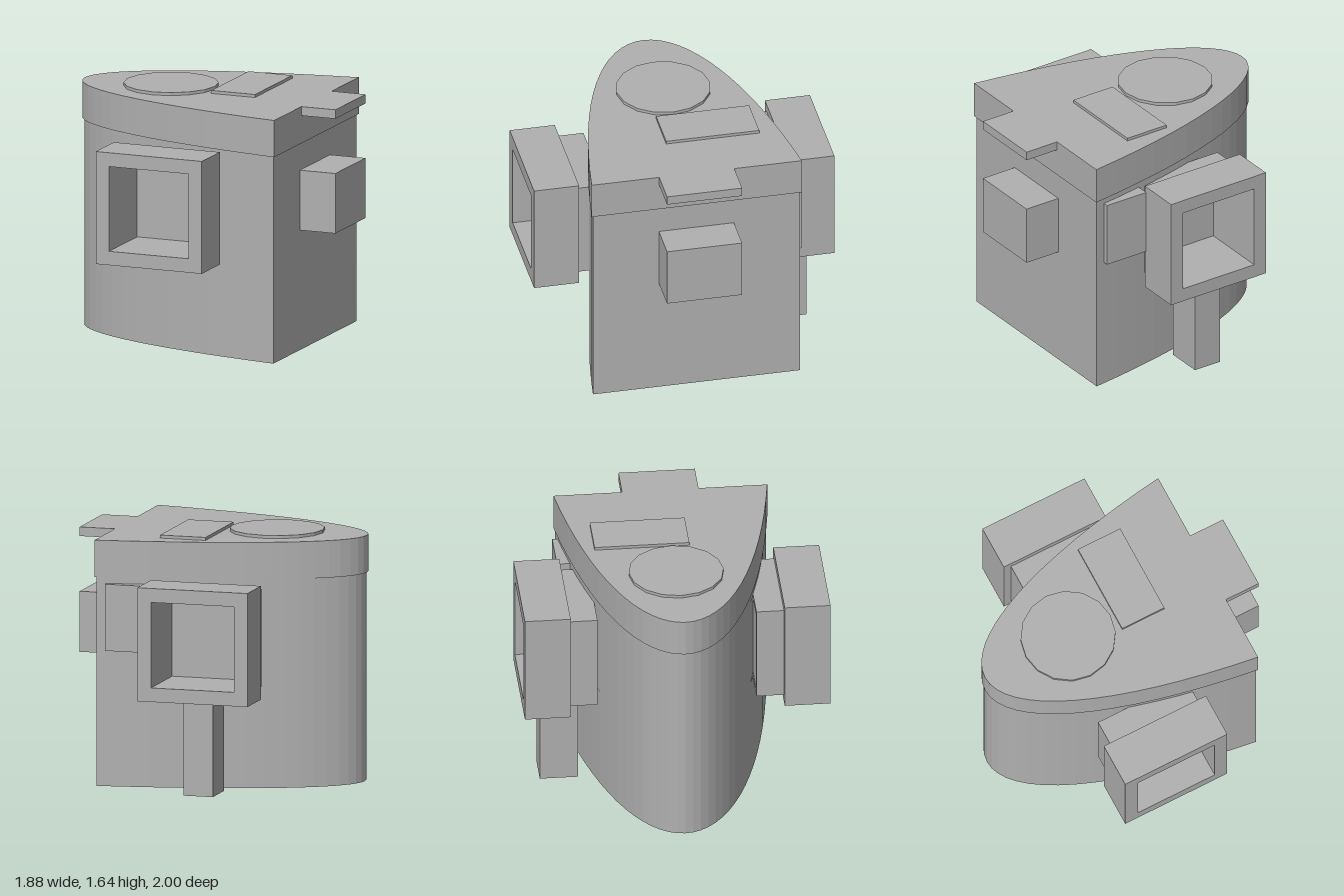
import * as THREE from 'three';

const grey = new THREE.MeshStandardMaterial({ color: 0xb0b0b0 });
grey.name = 'plain grey';

const WINDOW_X = -0.06; // centre line of both window boxes
const WINDOW_Y = 1.005;
const OPENING = 0.565;
const POCKET_Z = 0.525; // depth the window pockets reach into the body

// Rounded-wedge outline: an elliptic nose at -x, cut flat at +x.
function wedgePoints(scale, segments = 32) {
  const a = 3.01, b = 0.786, end = 1.098;
  const points = [];
  for (let i = 0; i <= segments; i++) {
    const t = end * (2 * i / segments - 1);
    points.push(new THREE.Vector2((-0.94 + a * (1 - Math.cos(t))) * scale, b * Math.sin(t) * scale));
  }
  return points;
}

// Same outline with the sides cut back flat where the window pockets enter.
function pocketedPoints(points) {
  const edge = WINDOW_X + OPENING / 2 + 0.02;
  const result = [];
  points.forEach((p, i) => {
    const next = points[i + 1];
    const side = Math.sign(p.y);
    const flat = p.x < edge ? Math.min(Math.abs(p.y), POCKET_Z) * side : p.y;
    result.push(new THREE.Vector2(p.x, flat));
    if (next && (p.x < edge) !== (next.x < edge)) {
      const y = THREE.MathUtils.lerp(p.y, next.y, (edge - p.x) / (next.x - p.x));
      const step = [new THREE.Vector2(edge, POCKET_Z * side), new THREE.Vector2(edge, y)];
      result.push(...(p.x < edge ? step : step.reverse()));
    }
  });
  return result;
}

// Upright prism between two heights.
function prism(points, y0, y1) {
  const geometry = new THREE.ExtrudeGeometry(new THREE.Shape(points), { depth: y1 - y0, bevelEnabled: false });
  return geometry.rotateX(-Math.PI / 2).translate(0, y0, 0);
}

// Box given by its limits on each axis.
function box(x0, x1, y0, y1, z0, z1) {
  return new THREE.BoxGeometry(x1 - x0, y1 - y0, z1 - z0)
    .translate((x0 + x1) / 2, (y0 + y1) / 2, (z0 + z1) / 2);
}

// Square tube along z.
function squareTube(outer, inner, z0, z1) {
  const square = (s) => [[-s, -s], [s, -s], [s, s], [-s, s]].map(([x, y]) => new THREE.Vector2(x, y));
  const shape = new THREE.Shape(square(outer / 2));
  shape.holes.push(new THREE.Path(square(inner / 2).reverse()));
  return new THREE.ExtrudeGeometry(shape, { depth: z1 - z0, bevelEnabled: false }).translate(0, 0, z0);
}

function add(parent, name, geometry) {
  const mesh = new THREE.Mesh(geometry, grey);
  mesh.name = name;
  parent.add(mesh);
  return mesh;
}

export function createModel() {
  const model = new THREE.Group();
  model.name = 'tower';

  // Body in three tiers; the middle one makes room for the windows
  const bodyOutline = wedgePoints(0.985);
  add(model, 'bodyLower', prism(bodyOutline, 0, 0.7));
  add(model, 'bodyMiddle', prism(pocketedPoints(bodyOutline), 0.7, 1.31));
  add(model, 'bodyUpper', prism(bodyOutline, 1.31, 1.38));

  // Lid with its tab, round plate and rectangular plate
  add(model, 'lid', prism(wedgePoints(1), 1.38, 1.625));
  add(model, 'lidTab', box(0.69, 0.94, 1.565, 1.625, -0.25, 0.25));
  add(model, 'roundPlate', new THREE.CylinderGeometry(0.31, 0.31, 0.03, 16).toNonIndexed().translate(-0.33, 1.63, 0))
    .geometry.computeVertexNormals();
  add(model, 'rectangularPlate', box(0.005, 0.315, 1.615, 1.645, -0.5, 0.12));

  // Block on the flat end
  add(model, 'endBlock', box(0.68, 0.94, 0.8, 1.2, -0.25, 0.25));

  // Hollow window boxes, front and back
  for (const [name, turn] of [['frontWindow', 0], ['backWindow', Math.PI]]) {
    const win = new THREE.Group();
    win.name = name;
    add(win, 'windowFrame', squareTube(0.75, OPENING, 0.7, 1));
    add(win, 'windowNeck', squareTube(0.645, OPENING, 0.52, 0.7));
    add(win, 'windowBack', box(-0.3, 0.3, -0.3, 0.3, 0.522, 0.532));
    win.position.set(WINDOW_X, WINDOW_Y, 0);
    win.rotation.y = turn;
    model.add(win);
  }

  // Panel and post on the back
  add(model, 'backPanel', box(0.315, 0.625, 0.9, 1.34, -0.715, -0.58));
  add(model, 'backPost', box(-0.16, 0.04, 0, 0.63, -0.875, -0.625));

  return model;
}
